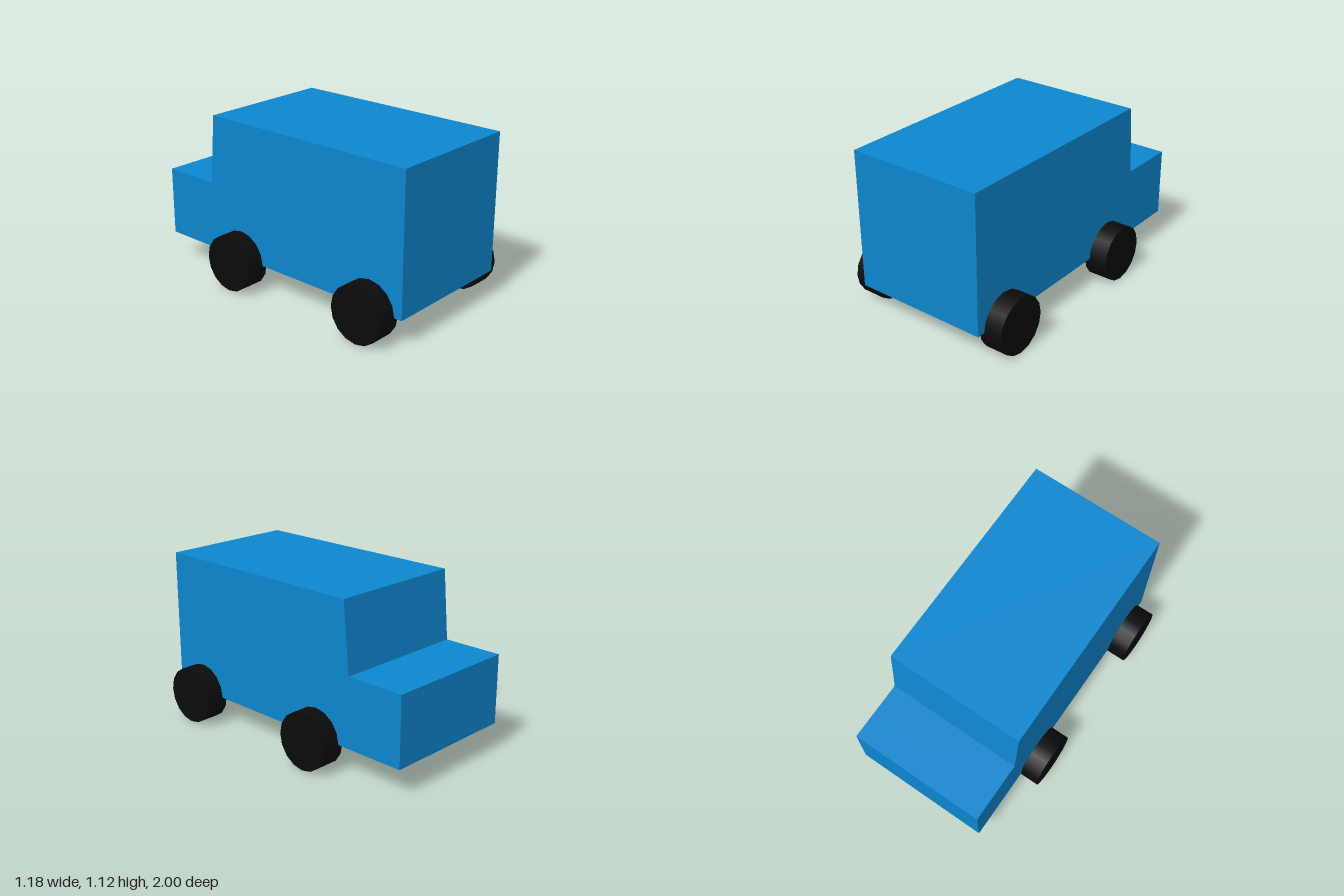
import * as THREE from 'three';

export function createModel() {
  const group = new THREE.Group();
  const paint = new THREE.MeshStandardMaterial({ color: 0x0d86cf });
  const rubber = new THREE.MeshStandardMaterial({ color: 0x0b0b0b });

  // Body: side profile as (z, y), extruded across the width
  const width = 0.93;
  const profile = new THREE.Shape([
    [-1, 0.19], [1, 0.19], [1, 1.12], [-0.555, 1.12], [-0.595, 0.655], [-1, 0.655],
  ].map(([z, y]) => new THREE.Vector2(z, y)));
  const bodyGeometry = new THREE.ExtrudeGeometry(profile, { depth: width, bevelEnabled: false });
  bodyGeometry.translate(0, 0, -width / 2).rotateY(-Math.PI / 2);
  const body = new THREE.Mesh(bodyGeometry, paint);
  body.name = 'body';
  group.add(body);

  // Wheels: four 16-sided cylinders lying across the body
  const wheelGeometry = new THREE.CylinderGeometry(0.19, 0.19, 0.16, 16).rotateZ(Math.PI / 2);
  for (const [end, z] of [['front', 0.755], ['rear', -0.325]]) {
    for (const [side, sign] of [['Left', 1], ['Right', -1]]) {
      const wheel = new THREE.Mesh(wheelGeometry, rubber);
      wheel.name = `${end}${side}Wheel`;
      wheel.position.set(sign * 0.51, 0.19, z);
      group.add(wheel);
    }
  }

  return group;
}
